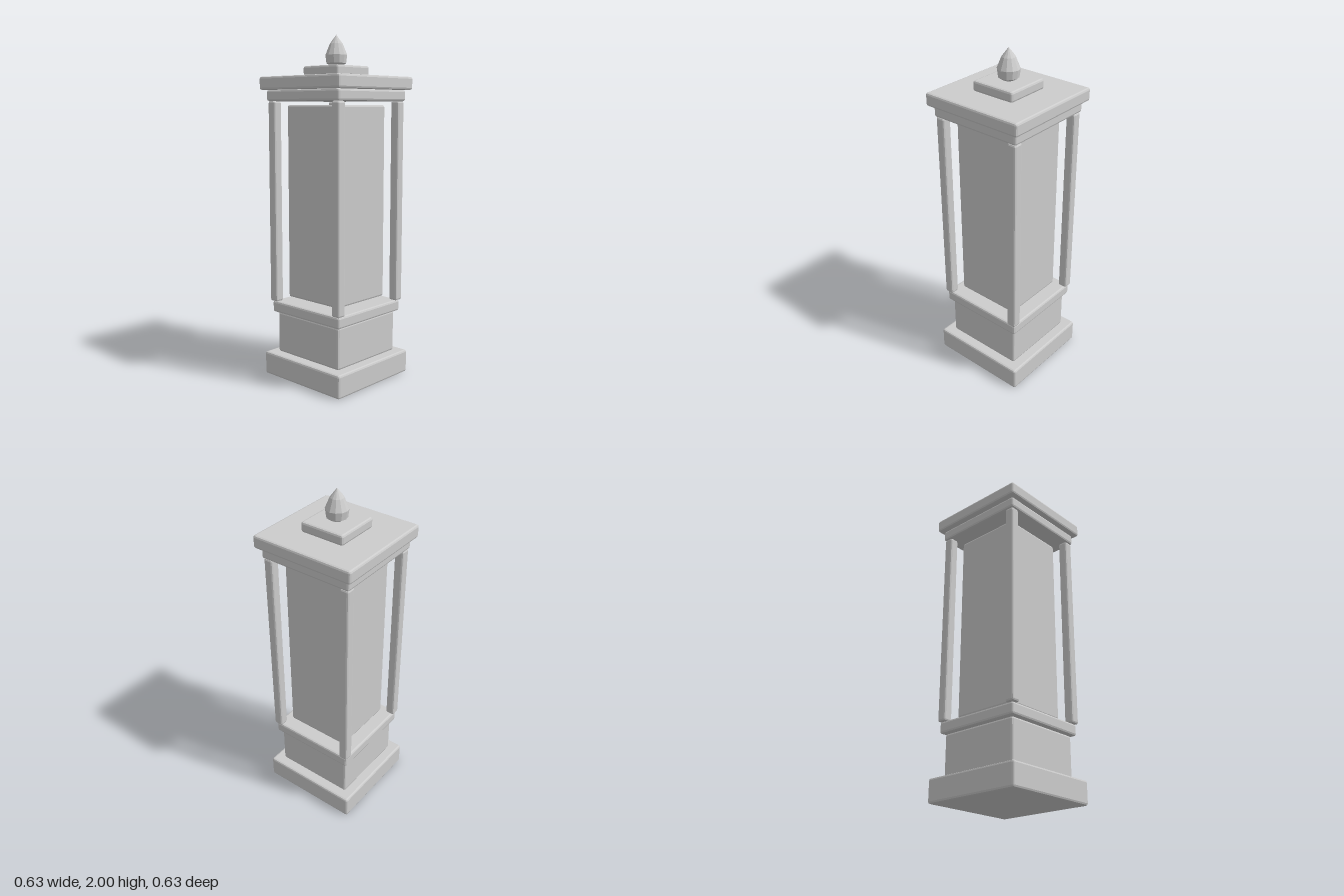
import * as THREE from 'three';
import { RoundedBoxGeometry } from 'three/addons/geometries/RoundedBoxGeometry.js';

export function createModel() {
  const model = new THREE.Group();
  model.name = 'lanternPillar';
  const stone = new THREE.MeshStandardMaterial({ color: 0xcccccc });
  stone.name = 'stone grey';

  // Adds a mesh with flat facets
  function add(name, geometry, x = 0, z = 0) {
    const flat = geometry.index ? geometry.toNonIndexed() : geometry;
    flat.computeVertexNormals();
    const mesh = new THREE.Mesh(flat, stone);
    mesh.name = name;
    mesh.position.set(x, 0, z);
    model.add(mesh);
  }

  // Square block with bevelled edges, from y0 to y1
  function block(name, width, y0, y1, x = 0, z = 0, bevel = 0.012) {
    const g = new RoundedBoxGeometry(width, y1 - y0, width, 1, bevel);
    g.translate(0, (y0 + y1) / 2, 0);
    add(name, g, x, z);
  }

  // Stacked base
  block('base', 0.606, 0, 0.136);
  block('plinth', 0.49, 0.136, 0.382);
  block('ledge', 0.536, 0.382, 0.45);

  // Central lantern body, set clear of the ledge and cornice
  block('lanternBody', 0.4, 0.473, 1.605);

  // Four corner posts
  for (const sx of [-1, 1]) {
    for (const sz of [-1, 1]) {
      block('cornerPost', 0.056, 0.45, 1.626, sx * 0.25, sz * 0.25, 0.011);
    }
  }

  // Stacked roof
  block('cornice', 0.568, 1.626, 1.69);
  block('roofSlab', 0.626, 1.69, 1.765);
  block('finialBase', 0.27, 1.765, 1.825);

  // Twelve-sided bud finial
  const profile = [[0, 1.825], [0.032, 1.825], [0.058, 1.841], [0.064, 1.887], [0.038, 1.95], [0, 2]]
    .map(([r, y]) => new THREE.Vector2(r, y));
  add('finial', new THREE.LatheGeometry(profile, 12));

  return model;
}
